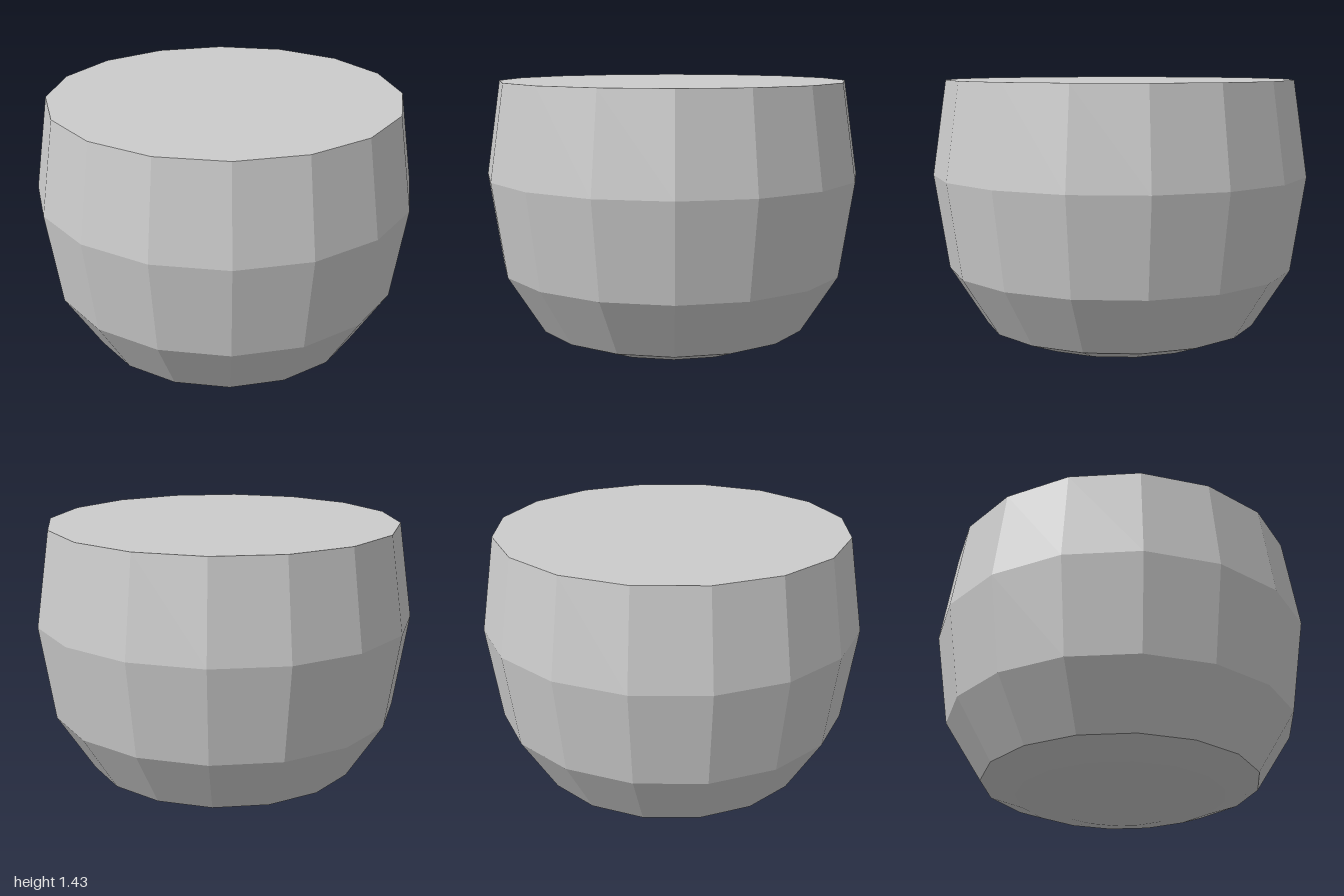
import * as THREE from 'three';

export function createModel() {
  const group = new THREE.Group();
  group.name = 'barrelPot';
  const material = new THREE.MeshStandardMaterial({ color: 0xcccccc, flatShading: true });

  // Sixteen-sided body: rounded base, bulging wall and flat closed top
  const profile = [
    [0, 0], [0.34, 0.005], [0.55, 0.05], [0.73, 0.12],
    [0.925, 0.43], [1, 0.93], [0.925, 1.43], [0, 1.43],
  ].map(([r, y]) => new THREE.Vector2(r, y));
  const body = new THREE.Mesh(new THREE.LatheGeometry(profile, 16), material);
  body.name = 'body';
  group.add(body);

  return group;
}
